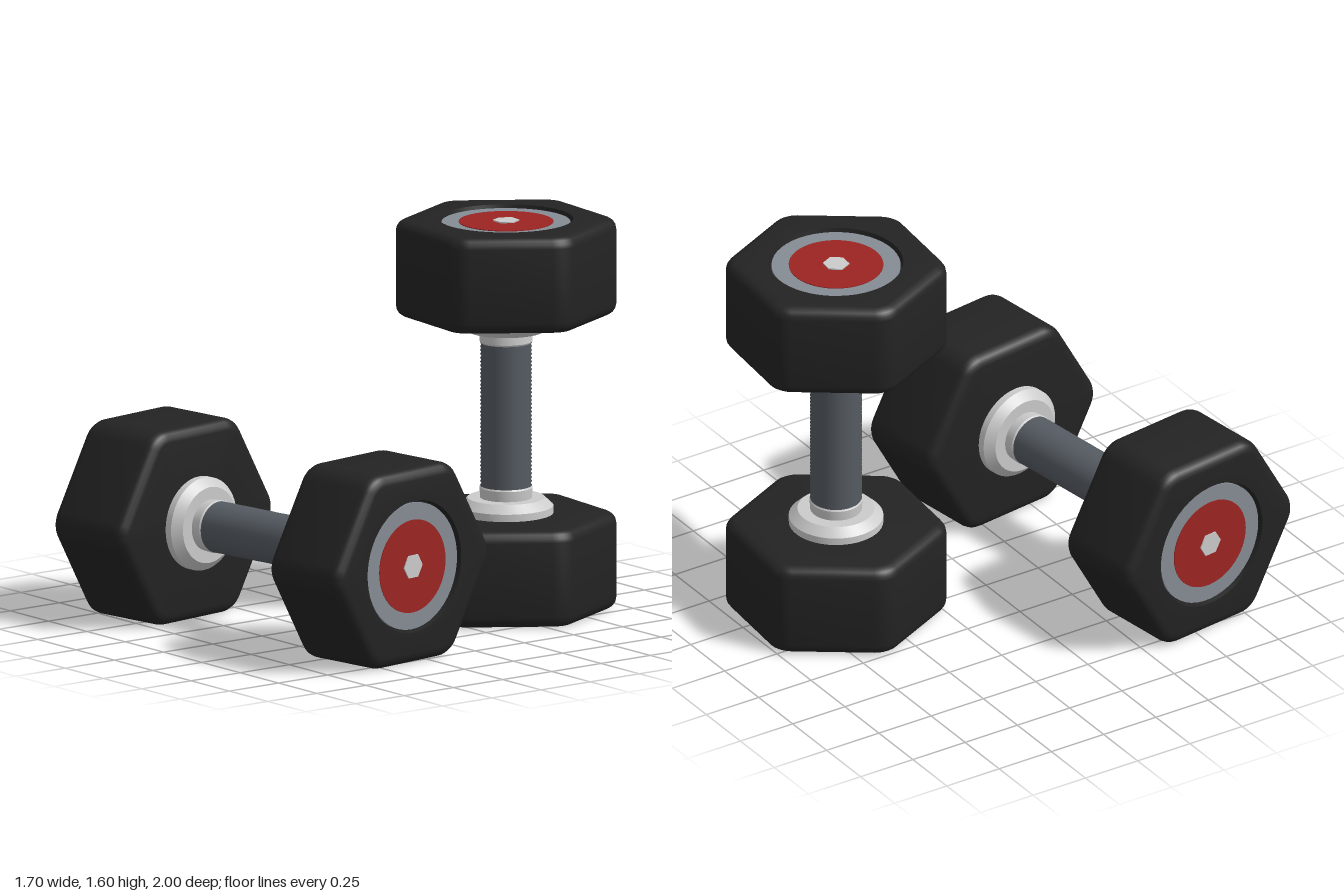
import * as THREE from 'three';
import { toCreasedNormals } from 'three/addons/utils/BufferGeometryUtils.js';

const HALF = 0.8;       // half the length of a dumbbell
const HEAD = 0.395;     // thickness of a head
const APOTHEM = 0.398;  // centre to flat of the hexagon
const ROUND = 0.11;     // rounding of the hexagon corners
const BEVEL = 0.045;

const rubber = new THREE.MeshStandardMaterial({ color: 0x232323 });
const steel = new THREE.MeshStandardMaterial({ color: 0xcccccc });
const ringGrey = new THREE.MeshStandardMaterial({ color: 0x858c94 });
const red = new THREE.MeshStandardMaterial({ color: 0x9c2422 });
const gripGrey = new THREE.MeshStandardMaterial({ color: 0x555b62 });

const PER_CORNER = 8, COUNT = PER_CORNER * 6;

// Rounded hexagon, offset inwards, at height y
function hexRow(inset, y) {
  const row = [], reach = (APOTHEM - ROUND) / Math.cos(Math.PI / 6);
  for (let k = 0; k < 6; k++) {
    const c = k * Math.PI / 3;
    for (let i = 0; i < PER_CORNER; i++) {
      const a = c + (i / (PER_CORNER - 1) - 0.5) * Math.PI / 3, r = ROUND - inset;
      row.push([reach * Math.sin(c) + r * Math.sin(a), y, reach * Math.cos(c) + r * Math.cos(a)]);
    }
  }
  return row;
}

// Circle with the same number of points
function circleRow(radius, y) {
  return Array.from({ length: COUNT }, (_, i) => {
    const a = (i - (PER_CORNER - 1) / 2) * 2 * Math.PI / COUNT;
    return [radius * Math.sin(a), y, radius * Math.cos(a)];
  });
}

// Skin a list of closed cross-sections
function skin(rows) {
  const index = [];
  for (let j = 0; j < rows.length - 1; j++) {
    for (let i = 0; i < COUNT; i++) {
      const n = (i + 1) % COUNT;
      const a = j * COUNT + i, b = j * COUNT + n, c = a + COUNT, d = b + COUNT;
      index.push(a, b, c, b, d, c);
    }
  }
  const geo = new THREE.BufferGeometry();
  geo.setAttribute('position', new THREE.Float32BufferAttribute(rows.flat(2), 3));
  geo.setIndex(index);
  return toCreasedNormals(geo, 0.6);
}

// Head: bevelled hexagon with a shallow round recess in its outer face
function headGeometry() {
  const rows = [circleRow(0.08, 0)], steps = 4;
  for (let s = 0; s <= steps; s++) {
    const t = s / steps * Math.PI / 2;
    rows.push(hexRow(BEVEL * (1 - Math.sin(t)), BEVEL * (1 - Math.cos(t))));
  }
  for (let s = 0; s <= steps; s++) {
    const t = s / steps * Math.PI / 2;
    rows.push(hexRow(BEVEL * (1 - Math.cos(t)), HEAD - BEVEL * (1 - Math.sin(t))));
  }
  rows.push(circleRow(0.27, HEAD), circleRow(0.264, HEAD - 0.025), circleRow(0.01, HEAD - 0.025));
  return skin(rows);
}

function lathe(points, segments = 48) {
  return new THREE.LatheGeometry(points.map(([r, y]) => new THREE.Vector2(r, y)), segments);
}

// Ribbed grip
function gripGeometry() {
  const points = [], ribs = 38, half = 0.3;
  for (let i = 0; i <= ribs * 2; i++) {
    points.push([i % 2 ? 0.104 : 0.098, -half + i * half / ribs]);
  }
  return lathe(points, 40);
}

// Flange and neck between grip and head
const collarProfile = [
  [0.09, 0.292], [0.102, 0.292], [0.107, 0.3], [0.104, 0.342],
  [0.155, 0.342], [0.19, 0.375], [0.19, 0.41],
];

function add(parent, name, geometry, material, y = 0) {
  const mesh = new THREE.Mesh(geometry, material);
  mesh.name = name;
  mesh.position.y = y;
  parent.add(mesh);
  return mesh;
}

const geos = {
  head: headGeometry(),
  collar: toCreasedNormals(lathe(collarProfile), 0.45),
  ring: new THREE.CylinderGeometry(0.259, 0.259, 0.014, 48),
  disc: new THREE.CylinderGeometry(0.19, 0.19, 0.014, 48),
  bolt: new THREE.CylinderGeometry(0.053, 0.053, 0.016, 6),
  grip: gripGeometry(),
};

// Dumbbell along the y axis, centred on the origin
function dumbbell(name) {
  const group = new THREE.Group();
  group.name = name;
  add(group, 'grip', geos.grip, gripGrey);
  for (const side of ['first', 'second']) {
    const end = new THREE.Group();
    end.name = side + 'End';
    add(end, 'head', geos.head, rubber, HALF - HEAD);
    add(end, 'collar', geos.collar, steel);
    add(end, 'endRing', geos.ring, ringGrey, HALF - 0.02);
    add(end, 'endDisc', geos.disc, red, HALF - 0.017);
    add(end, 'hexBolt', geos.bolt, steel, HALF - 0.013);
    if (side === 'second') end.rotation.x = Math.PI;
    group.add(end);
  }
  return group;
}

export function createModel() {
  const model = new THREE.Group();
  model.name = 'dumbbellPair';

  const standing = dumbbell('standingDumbbell');
  standing.position.set(0.188, HALF, -0.595);
  standing.rotation.y = THREE.MathUtils.degToRad(25);

  const lying = dumbbell('lyingDumbbell');
  lying.position.set(0, APOTHEM, 0.453);
  lying.rotation.set(0, THREE.MathUtils.degToRad(8), -Math.PI / 2);

  model.add(standing, lying);
  return model;
}
